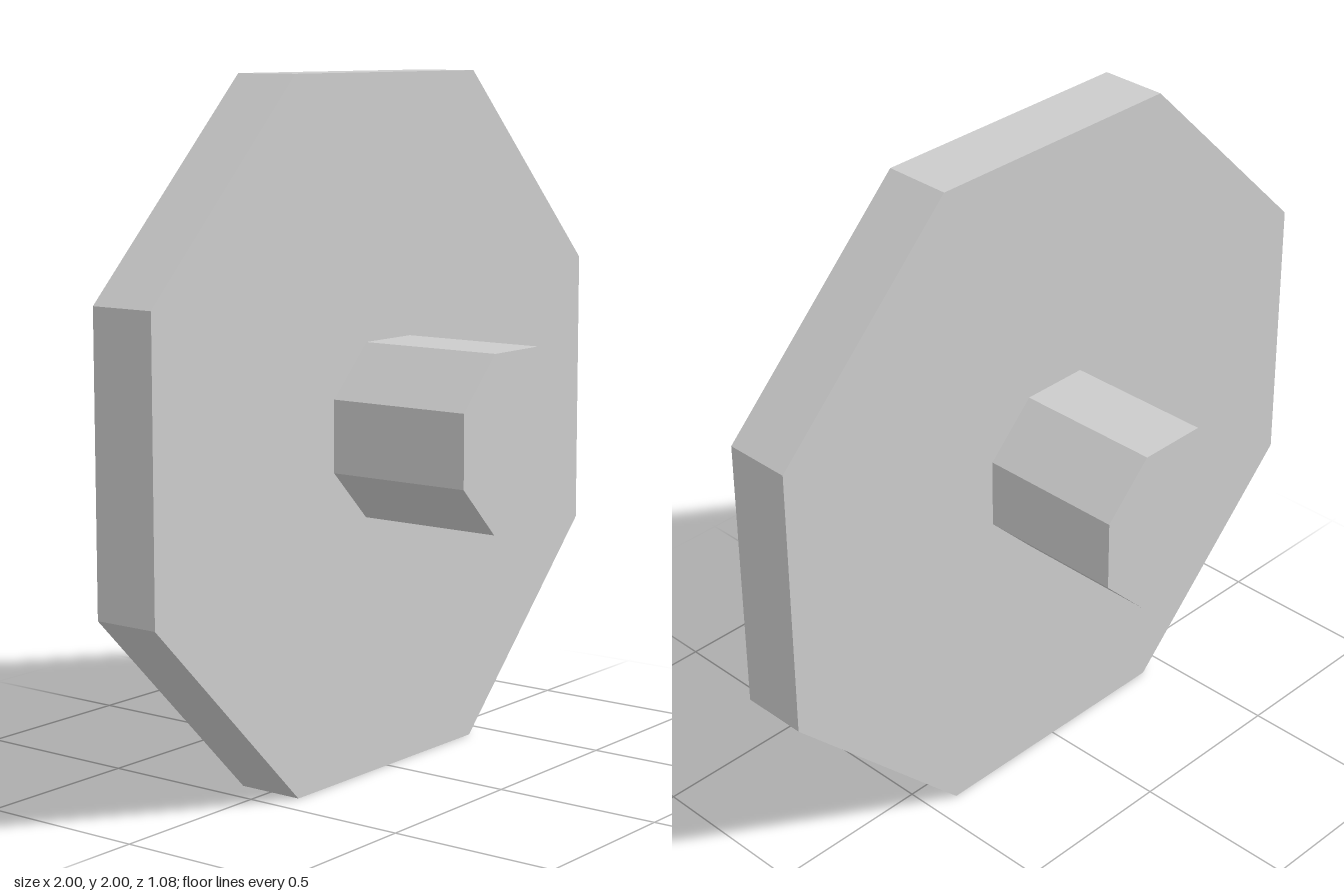
import * as THREE from 'three';

const SIDES = 8;
const material = new THREE.MeshStandardMaterial({ color: 0xcccccc, flatShading: true });

// Octagonal prism along z, lying on a flat side; size is measured across flats
function octagonPrism(name, acrossFlats, depth) {
  const radius = acrossFlats / 2 / Math.cos(Math.PI / SIDES);
  const geometry = new THREE.CylinderGeometry(radius, radius, depth, SIDES, 1, false, Math.PI / SIDES);
  geometry.rotateX(Math.PI / 2);
  const mesh = new THREE.Mesh(geometry, material);
  mesh.name = name;
  mesh.position.y = 1;
  return mesh;
}

export function createModel() {
  const group = new THREE.Group();
  group.name = 'wheelOnAxle';
  // Broad thin wheel, with the axle passing through its centre
  group.add(octagonPrism('wheel', 2, 0.2));
  group.add(octagonPrism('axle', 0.5, 1.08));
  return group;
}
